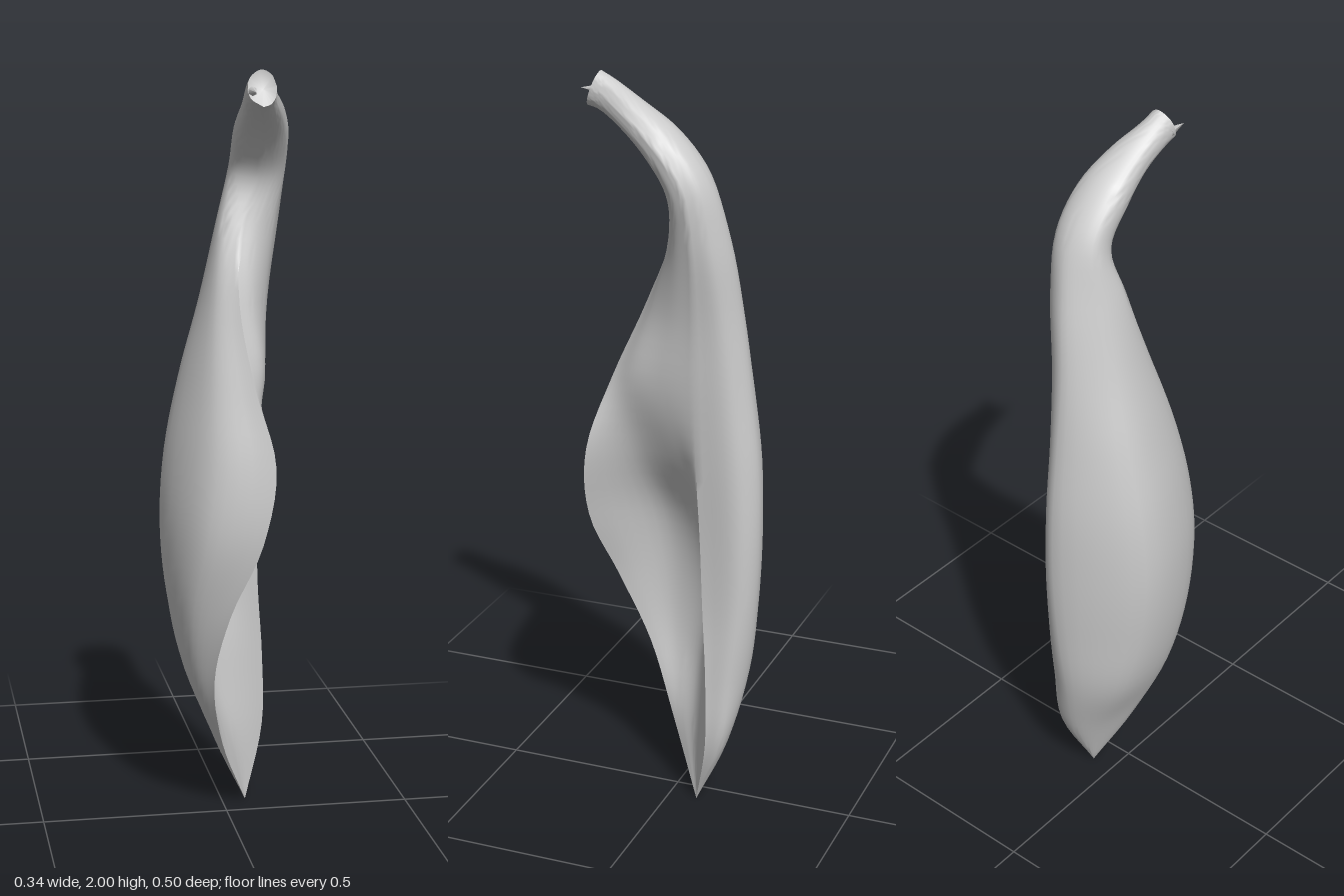
import * as THREE from 'three';
import { toCreasedNormals } from 'three/addons/utils/BufferGeometryUtils.js';

const V = (x, y, z) => new THREE.Vector3(x, y, z);

// Pod sections: height, then x,z of front rim, front left, back left, back, back right,
// right rim, crease of the hollow, hollow wall
const POD = [
  [.2, -.015, .02, -.03, -.02, 0, -.115, .06, -.17, .11, -.165, .12, -.125, .03, -.06, .002, -.015],
  [.4, -.05, .10, -.10, .05, -.09, -.13, .04, -.22, .11, -.19, .12, -.125, -.025, -.055, -.06, .025],
  [.6, -.02, .18, -.12, .11, -.14, -.12, .045, -.243, .105, -.21, .105, -.11, -.015, -.09, -.07, .04],
  [.8, .055, .235, -.10, .16, -.16, -.12, .05, -.252, .105, -.215, .10, -.10, .02, -.085, -.045, .06],
  [1, .09, .225, -.075, .155, -.148, -.125, .05, -.247, .105, -.205, .105, -.09, .065, -.03, .035, .1],
  [1.2, .045, .165, -.06, .10, -.107, -.125, .05, -.225, .105, -.185, .115, -.09, .098, .01, .08, .1],
  [1.4, .02, .08, -.04, .03, -.055, -.11, .05, -.20, .112, -.165, .125, -.09, .105, -.02, .065, .045],
  [1.6, .04, 0, -.01, -.02, -.01, -.10, .07, -.17, .135, -.14, .152, -.09, .13, -.04, .09, -.01],
];

// Stem sections: centre x,y,z, half width, half thickness, lean in degrees
const STEM = [
  [.09, 1.74, -.065, .077, .06, 25],
  [.087, 1.835, .005, .074, .052, 45],
  [.076, 1.9, .09, .056, .044, 60],
  [.058, 1.942, .165, .04, .044, 65],
  [.055, 1.955, .2, .037, .048, 70],
];

const podSection = ([y, ...p]) => [0, 1, 2, 3, 4, 5, 6, 7].map(k => V(p[2 * k], y, p[2 * k + 1]));

function stemSection([x, y, z, w, t, lean]) {
  const a = lean * Math.PI / 180;
  return [0, 60, 120, 180, 222, 265, 300, 330].map(deg => {
    const q = deg * Math.PI / 180, c = Math.cos(q) * t;
    return V(x - Math.sin(q) * w, y - Math.sin(a) * c, z + Math.cos(a) * c);
  });
}

// Closed ring: rounded outer wall, then the inner wall between the two rims
function ring(c) {
  const outer = new THREE.CatmullRomCurve3(c.slice(0, 6)).getPoints(30);
  const inner = new THREE.CatmullRomCurve3([...c.slice(5), c[0]]).getPoints(18);
  return [...outer, ...inner.slice(1)];
}

function loft(rings) {
  const n = rings[0].length, index = [];
  const pos = rings.flat().flatMap(p => [p.x, p.y, p.z]);
  for (let i = 0; i < rings.length - 1; i++) {
    for (let j = 0; j < n - 1; j++) {
      const a = i * n + j, b = a + n;
      index.push(a, b, a + 1, b, b + 1, a + 1);
    }
  }
  const g = new THREE.BufferGeometry();
  g.setAttribute('position', new THREE.Float32BufferAttribute(pos, 3));
  g.setIndex(index);
  return toCreasedNormals(g, 0.9);
}

export function createModel() {
  const group = new THREE.Group();
  const mat = new THREE.MeshStandardMaterial({ color: 0xcccccc, side: THREE.DoubleSide });
  const add = (name, geo) => {
    const m = new THREE.Mesh(geo, mat);
    m.name = name;
    group.add(m);
  };

  // Smooth lengthwise curves from the pointed tip through matching points of all sections
  const tip = V(.065, 0, -.08);
  const sections = [...POD.map(podSection), ...STEM.map(stemSection)];
  const rails = sections[0].map((_, k) => new THREE.CatmullRomCurve3([tip, ...sections.map(s => s[k])]));
  const steps = sections.length * 5;
  const rings = Array.from({ length: steps + 1 }, (_, i) => ring(rails.map(r => r.getPoint(i / steps))));
  add('podAndStem', loft(rings));

  // Slightly sunken cut at the end of the stem
  const last = rings[steps];
  const mid = last.reduce((s, p) => s.add(p), V(0, 0, 0)).divideScalar(last.length);
  mid.z -= 0.02;
  add('stemEnd', loft([last, last.map(() => mid)]));

  // Torn sliver on the rim of the cut
  const sliver = new THREE.ConeGeometry(0.014, 0.06, 6);
  sliver.rotateX(Math.PI / 2);
  sliver.translate(0.03, 1.947, 0.22);
  add('stemSliver', sliver);

  return group;
}
